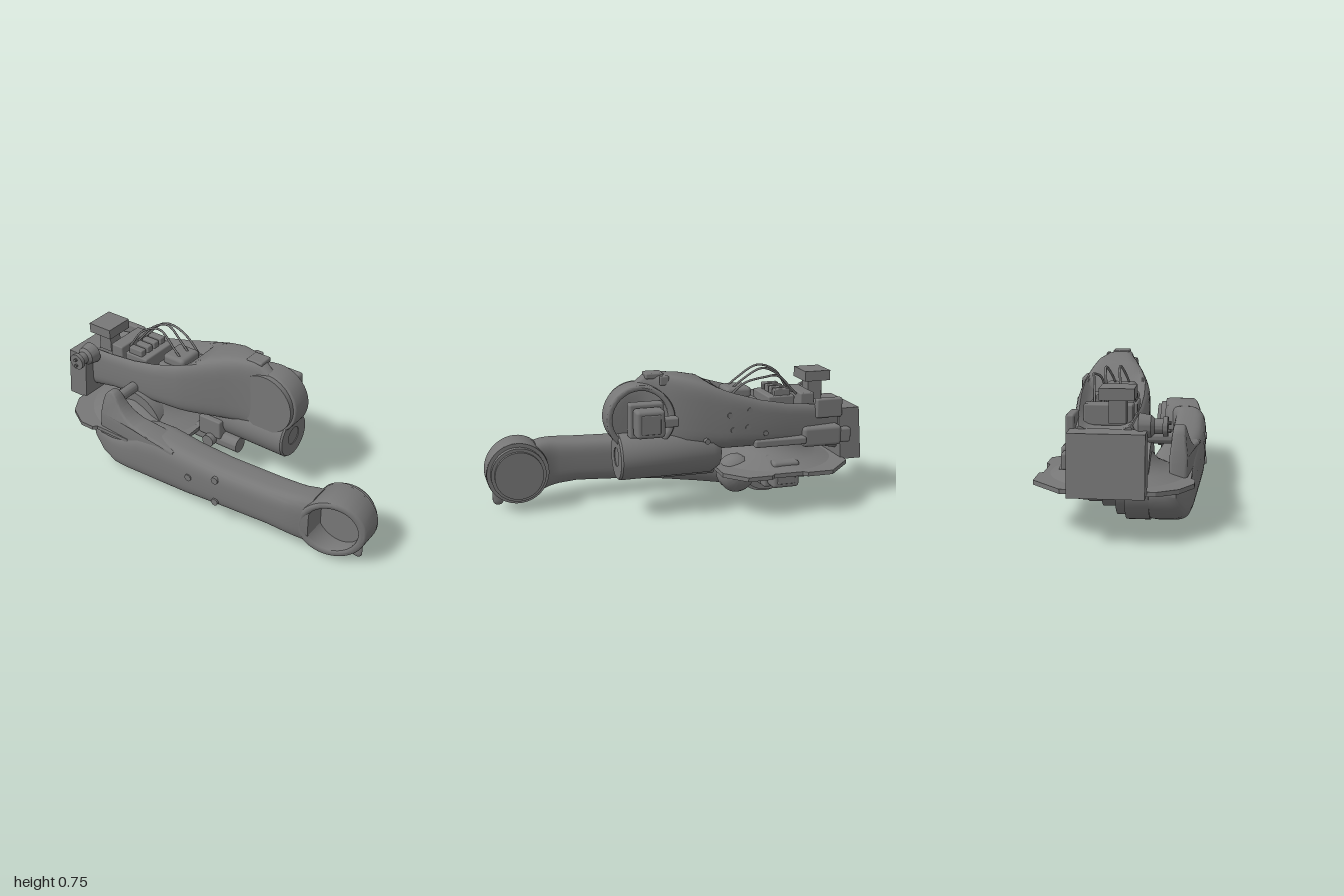
import * as THREE from 'three';
import { toCreasedNormals } from 'three/addons/utils/BufferGeometryUtils.js';
import { RoundedBoxGeometry } from 'three/addons/geometries/RoundedBoxGeometry.js';

export function createModel() {
  const root = new THREE.Group();
  const mat = new THREE.MeshStandardMaterial({ color: 0x777777, side: THREE.DoubleSide });

  const add = (name, geo, x = 0, y = 0, z = 0) => {
    const m = new THREE.Mesh(geo, mat);
    m.name = name;
    m.position.set(x, y, z);
    root.add(m);
    return m;
  };
  // boxes and rounded boxes given by their limits
  const box = (name, x0, x1, y0, y1, z0, z1, r = 0) => add(name,
    r ? new RoundedBoxGeometry(x1 - x0, y1 - y0, z1 - z0, 2, r) : new THREE.BoxGeometry(x1 - x0, y1 - y0, z1 - z0),
    (x0 + x1) / 2, (y0 + y1) / 2, (z0 + z1) / 2);
  // stepped round part along an axis; profile is [radius, distance] pairs
  const turned = (name, axis, profile, x, y, z, seg = 40) => {
    const geo = new THREE.LatheGeometry(profile.map(p => new THREE.Vector2(...p)), seg);
    if (axis === 'x') geo.rotateZ(-Math.PI / 2);
    if (axis === 'z') geo.rotateX(Math.PI / 2);
    return add(name, toCreasedNormals(geo, 0.6), x, y, z);
  };
  const cyl = (name, axis, r, len, x, y, z, seg = 32) =>
    turned(name, axis, [[0, 0], [r, 0], [r, len], [0, len]], x, y, z, seg);
  // move every vertex in x by a rule
  const shiftX = (geo, rule) => {
    const p = geo.attributes.position;
    for (let i = 0; i < p.count; i++) p.setX(i, rule(p.getX(i), p.getY(i), p.getZ(i)));
    return toCreasedNormals(geo, 0.6);
  };

  // skin over rounded sections [z, xMin, xMax, yMin, yMax, dish], listed from front to back
  const loft = (name, stations, power, n = 48) => {
    const pos = [], idx = [];
    const se = v => Math.sign(v) * Math.pow(Math.abs(v), 2 / power);
    for (const [z, x0, x1, y0, y1, dish = 0] of stations) {
      for (let i = 0; i < n; i++) {
        const a = (i / n) * Math.PI * 2, u = se(Math.cos(a)), v = se(Math.sin(a));
        const drop = v > 0 ? dish * Math.max(0, 1 - (u / 0.85) ** 4) : 0;
        pos.push((x0 + x1) / 2 + u * (x1 - x0) / 2, (y0 + y1) / 2 + v * (y1 - y0) / 2 - drop, z);
      }
    }
    const last = (stations.length - 1) * n;
    for (let s = 0; s < last; s += n) for (let i = 0; i < n; i++) {
      const j = (i + 1) % n;
      idx.push(s + i, s + n + i, s + j, s + n + i, s + n + j, s + j);
    }
    [[stations[0], 0], [stations.at(-1), last]].forEach(([[z, x0, x1, y0, y1, dish = 0], o], e) => {
      const c = pos.length / 3;
      pos.push((x0 + x1) / 2, (y0 + y1 - dish) / 2, z);
      for (let i = 0; i < n; i++) {
        const j = (i + 1) % n;
        e ? idx.push(c, o + j, o + i) : idx.push(c, o + i, o + j);
      }
    });
    const geo = new THREE.BufferGeometry();
    geo.setAttribute('position', new THREE.Float32BufferAttribute(pos, 3));
    geo.setIndex(idx);
    return add(name, toCreasedNormals(geo, 0.7));
  };
  // side outline drawn in (-z, y) and thickened along x
  const extrudeX = (shape, x0, x1, bevel) => new THREE.ExtrudeGeometry(shape, {
    depth: x1 - x0 - 2 * bevel, bevelSize: bevel, bevelThickness: bevel, bevelOffset: -bevel,
    bevelSegments: 3, curveSegments: 32,
  }).rotateY(Math.PI / 2).translate(x0 + bevel, 0, 0);
  const ring = (u, y, outer, inner) => {
    const s = new THREE.Shape().absarc(u, y, outer, 0, Math.PI * 2, false);
    s.holes.push(new THREE.Path().absarc(u, y, inner, 0, Math.PI * 2, false));
    return s;
  };

  // ---- lower link ----
  loft('lowerLink', [
    [0.725, -0.335, -0.15, 0.068, 0.34], [0.69, -0.348, -0.165, 0.073, 0.345], [0.65, -0.36, -0.183, 0.083, 0.345],
    [0.6, -0.37, -0.188, 0.092, 0.342], [0.5, -0.377, -0.19, 0.1, 0.335],
    [0.2, -0.386, -0.19, 0.083, 0.325], [0, -0.386, -0.185, 0.06, 0.33], [-0.2, -0.375, -0.16, 0.035, 0.332],
    [-0.34, -0.365, -0.13, 0.018, 0.3], [-0.45, -0.355, -0.11, 0.005, 0.245], [-0.53, -0.345, -0.1, 0, 0.225],
    [-0.62, -0.325, -0.1, 0.03, 0.215], [-0.69, -0.3, -0.11, 0.095, 0.21], [-0.715, -0.28, -0.13, 0.14, 0.205],
  ], 3.4);

  // hollow wrist end with a slanted outer face
  add('linkEnd', shiftX(extrudeX(ring(-0.832, 0.203, 0.167, 0.128), -0.37, -0.13, 0.018),
    (x, y, z) => x + ((-0.13 - x) / 0.24) * Math.max(0, z - 0.62) * 0.31));
  turned('wristFlange', 'x', [[0, 0], [0.15, 0], [0.165, 0.03], [0.165, 0.085], [0.145, 0.085], [0.145, 0.115],
    [0.128, 0.115], [0.128, 0.135], [0, 0.135]], -0.21, 0.203, 0.832, 56);
  add('endLug', new THREE.CapsuleGeometry(0.03, 0.05, 6, 16).scale(0.4, 1, 1), -0.2, 0.07, 0.935);

  // web along the rear of the link, rising to an ear with a pin
  const ear = new THREE.Shape();
  ear.moveTo(0.08, 0.31);
  ear.quadraticCurveTo(0.2, 0.335, 0.36, 0.345);
  ear.quadraticCurveTo(0.45, 0.36, 0.5, 0.445);
  ear.quadraticCurveTo(0.54, 0.505, 0.585, 0.445);
  ear.quadraticCurveTo(0.605, 0.4, 0.62, 0.3);
  ear.lineTo(0.63, 0.18);
  ear.lineTo(0.08, 0.18);
  ear.closePath();
  add('linkEar', shiftX(extrudeX(ear, -0.37, -0.24, 0.014), (x, y, z) => {
    const t = Math.max(0, (y - 0.33) / 0.14);
    const lean = x < -0.3 ? Math.max(0, -z - 0.25) * 0.12 : 0;
    return -0.28 + (x + lean + 0.28) * (1 - 0.4 * t);
  }));
  cyl('earPin', 'x', 0.03, 0.2, -0.3, 0.412, -0.54);
  for (const [y, z] of [[0.27, 0.2], [0.13, 0.2], [0.21, 0.03]]) cyl('linkPlug', 'x', 0.02, 0.03, -0.392, y, z, 16);

  // ---- shoulder drive ----
  turned('shoulderGearbox', 'x', [[0, 0], [0.193, 0], [0.193, 0.115], [0.172, 0.115], [0.172, 0.16], [0.132, 0.16],
    [0.132, 0.23], [0.112, 0.23], [0.112, 0.3], [0.09, 0.33], [0, 0.33]], -0.15, 0.2, -0.53, 56);
  turned('gearCover', 'x', [[0, 0], [0.085, 0], [0.1, 0.02], [0.1, 0.08], [0.085, 0.11], [0.05, 0.13], [0, 0.135]],
    0.065, 0.18, -0.3);

  // square servo motor pointing along +x
  const motor = (name, x, y, z, len) => {
    box(name + 'Flange', x, x + 0.065, y - 0.09, y + 0.09, z - 0.09, z + 0.09, 0.012);
    box(name + 'Body', x + 0.06, x + len, y - 0.072, y + 0.072, z - 0.075, z + 0.075, 0.018);
    box(name + 'Cap', x + len - 0.015, x + len + 0.004, y - 0.05, y + 0.05, z - 0.05, z + 0.05, 0.006);
    box(name + 'Plug', x + 0.08, x + 0.14, y - 0.025, y + 0.025, z - 0.15, z - 0.07, 0.01);
  };
  motor('shoulderMotor', 0.14, 0.2, -0.52, 0.155);
  motor('elbowMotor', 0.14, 0.527, 0.215, 0.155);

  // ---- turntable ----
  const plate = new THREE.Shape([[0.28, -0.17], [0.39, -0.27], [0.39, -0.4], [0.37, -0.42], [0.37, -0.58],
    [0.39, -0.6], [0.39, -0.74], [0.24, -0.89], [-0.2, -0.9], [-0.3, -0.84], [-0.365, -0.73], [-0.365, -0.65],
    [-0.345, -0.63], [-0.345, -0.42], [-0.3, -0.17]].map(([x, z]) => new THREE.Vector2(x, -z)));
  add('turntablePlate', new THREE.ExtrudeGeometry(plate, { depth: 0.022, bevelEnabled: false })
    .rotateX(-Math.PI / 2), 0, 0.214, 0);
  turned('turntableDome', 'y', [[0.35, 0], [0.26, 0.03], [0.2, 0.06], [0.165, 0.1], [0.14, 0.15], [0.11, 0.17], [0, 0.17]],
    0.01, 0.23, -0.53, 48);
  for (let i = 0; i < 28; i++) {
    const a = (i / 28) * Math.PI * 2;
    const tooth = box('turntableTooth', -0.017, 0.017, 0.192, 0.218, -0.02, 0.02);
    tooth.position.set(0.01 + 0.27 * Math.sin(a), 0.205, -0.53 + 0.27 * Math.cos(a));
    tooth.rotation.y = a;
  }

  // ---- upper casting ----
  loft('upperCasting', [
    [0.402, 0.04, 0.1, 0.5, 0.56], [0.36, 0.025, 0.1, 0.41, 0.64], [0.3, 0.018, 0.1, 0.37, 0.683],
    [0.24, 0.015, 0.095, 0.355, 0.698], [0.19, 0.01, 0.105, 0.352, 0.738],
    [0.15, 0.002, 0.125, 0.35, 0.745], [0.08, -0.012, 0.165, 0.35, 0.743], [0, -0.04, 0.2, 0.345, 0.733],
    [-0.1, -0.075, 0.218, 0.34, 0.71], [-0.2, -0.105, 0.232, 0.335, 0.68, 0.03], [-0.26, -0.118, 0.236, 0.335, 0.66, 0.09],
    [-0.4, -0.127, 0.236, 0.335, 0.615, 0.1], [-0.55, -0.125, 0.22, 0.33, 0.582, 0.08],
    [-0.72, -0.115, 0.195, 0.31, 0.56, 0.06], [-0.87, -0.1, 0.17, 0.27, 0.545, 0.04],
  ], 4.5);
  cyl('elbowDisc', 'x', 0.165, 0.05, 0.002, 0.53, 0.23, 56);
  // raised rim around the elbow motor
  add('elbowRim', shiftX(extrudeX(ring(-0.235, 0.526, 0.175, 0.145), 0.03, 0.157, 0.01),
    (x, y, z) => x + (x > 0.1 ? Math.max(0, 0.2 - z) * 0.3 : 0)));
  box('topPad', 0.03, 0.115, 0.72, 0.75, 0.1, 0.195, 0.008);
  box('topStop', 0.128, 0.15, 0.69, 0.74, 0.08, 0.13, 0.009);
  for (const [y, z] of [[0.53, -0.22], [0.55, -0.33], [0.45, -0.24], [0.46, -0.32], [0.4, -0.1], [0.42, -0.42]])
    cyl('castingBolt', 'x', 0.014, 0.035, 0.205, y, z, 12);

  // ---- balance cylinder under the casting ----
  turned('balanceCylinder', 'z', [[0, 0], [0.09, 0], [0.12, 0.05], [0.122, 0.535], [0.115, 0.545],
    [0.05, 0.545], [0.05, 0.54], [0, 0.54]], 0.11, 0.322, -0.19, 48);
  cyl('cableSleeve', 'z', 0.044, 0.28, 0.01, 0.2, -0.2);
  cyl('sleeveBranch', 'x', 0.035, 0.09, -0.07, 0.205, -0.08, 20);
  box('sleeveBracket', -0.04, 0.02, 0.22, 0.33, -0.16, -0.02, 0.008);

  // ---- rear equipment ----
  const cabinet = box('rearCabinet', -0.16, 0.19, 0.225, 0.512, -1, -0.88);
  const cp = cabinet.geometry.attributes.position;
  for (let i = 0; i < cp.count; i++) if (cp.getY(i) > 0) cp.setZ(i, cp.getZ(i) + 0.025);
  cabinet.geometry.computeVertexNormals();
  box('relayBox', -0.1, 0.06, 0.64, 0.695, -0.86, -0.715);
  box('relayPost', -0.06, 0.02, 0.53, 0.65, -0.83, -0.75);
  turned('connector', 'x', [[0, 0], [0.045, 0], [0.045, 0.022], [0.034, 0.022], [0.034, 0.06], [0.05, 0.075],
    [0.06, 0.13], [0, 0.16]], -0.25, 0.525, -0.84);
  for (const dy of [-0.02, 0.015]) cyl('connectorStud', 'x', 0.009, 0.02, -0.263, 0.525 + dy, -0.84, 10);
  box('sideMotorBody', 0.14, 0.235, 0.32, 0.43, -0.86, -0.64, 0.02);
  box('sideMotorCap', 0.15, 0.225, 0.33, 0.41, -0.92, -0.85, 0.012);
  box('sideRail', 0.17, 0.25, 0.345, 0.385, -0.65, -0.36, 0.01);
  box('sideBracket', 0.17, 0.21, 0.47, 0.575, -0.87, -0.72, 0.01);

  // motor and fittings inside the open top
  box('waistMotorFlange', -0.07, 0.145, 0.53, 0.59, -0.41, -0.23, 0.015);
  box('waistMotorBody', -0.05, 0.1, 0.58, 0.64, -0.39, -0.25, 0.02);
  box('valveBlock', -0.09, 0.14, 0.5, 0.59, -0.62, -0.47, 0.008);
  for (let i = 0; i < 4; i++) box('valve', -0.08 + i * 0.055, -0.04 + i * 0.055, 0.57, 0.625, -0.6, -0.51, 0.006);
  box('terminalBlock', -0.08, 0.15, 0.5, 0.6, -0.73, -0.65, 0.008);

  // arching hoses
  [[-0.02, 0.74], [0.05, 0.735], [0.11, 0.7]].forEach(([x, top], i) => {
    const path = new THREE.CatmullRomCurve3([[x, 0.6, -0.26], [x + 0.01, 0.67, -0.34], [x + 0.03, top, -0.45],
      [x + 0.02, 0.7, -0.56 + i * 0.02], [x, 0.59, -0.64]].map(p => new THREE.Vector3(...p)));
    add('hose', new THREE.TubeGeometry(path, 28, 0.006, 8));
  });

  return root;
}
